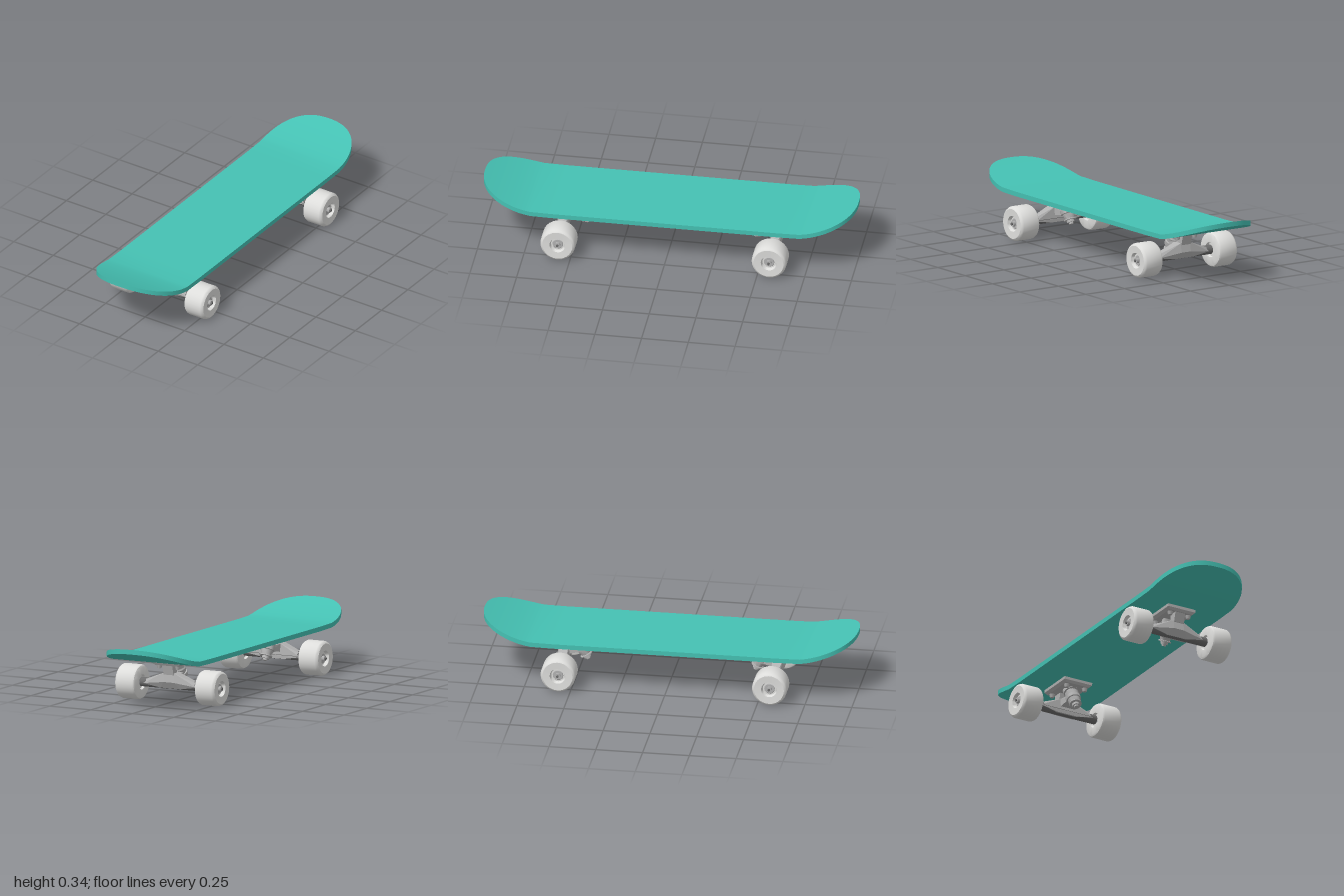
import * as THREE from 'three';
import { toCreasedNormals } from 'three/addons/utils/BufferGeometryUtils.js';
import { ConvexGeometry } from 'three/addons/geometries/ConvexGeometry.js';

const mat = (name, color) => {
  const m = new THREE.MeshStandardMaterial({ color });
  m.name = name;
  return m;
};

export function createModel() {
  const teal = mat('teal deck', 0x45c1b3);
  const white = mat('pale wheel', 0xdededc);
  const metal = mat('light metal', 0xb2b2b2);
  const dark = mat('dark metal', 0x6c6c6c);

  const add = (parent, name, geo, material, x = 0, y = 0, z = 0) => {
    const mesh = new THREE.Mesh(geo, material);
    mesh.name = name;
    mesh.position.set(x, y, z);
    parent.add(mesh);
    return mesh;
  };
  const lathe = (pts, segs) => toCreasedNormals(
    new THREE.LatheGeometry(pts.map(([r, y]) => new THREE.Vector2(r, y)), segs), 0.6);

  // Deck: rectangular sections along z, rounded outline, raised ends
  function deckGeometry() {
    const half = [];
    for (let z = 0; z < 0.72; z += 0.12) half.push([z, 0.25]);
    const n = 18, p = 2 / 2.4;
    for (let i = 0; i <= n; i++) {
      const a = (i / n) * Math.PI / 2 * 0.97;
      half.push([Math.min(1, 0.72 + 0.28 * Math.sin(a) ** p), 0.25 * Math.cos(a) ** p]);
    }
    half[half.length - 1][0] = 1;
    const stations = [...half.slice(1).reverse().map(([z, w]) => [-z, w]), ...half];
    const pos = [], idx = [];
    stations.forEach(([z, w], i) => {
      const lift = 0.085 * (Math.max(0, Math.abs(z) - 0.7) / 0.3) ** 1.4;
      const bottom = 0.23 + lift, top = 0.255 + lift;
      pos.push(w, bottom, z, w, top, z, -w, top, z, -w, bottom, z);
      if (i === 0) return;
      for (let k = 0; k < 4; k++) {
        const a = (i - 1) * 4 + k, b = (i - 1) * 4 + (k + 1) % 4;
        idx.push(a, b, a + 4, b, b + 4, a + 4);
      }
    });
    const e = (stations.length - 1) * 4;
    idx.push(0, 2, 1, 0, 3, 2, e, e + 1, e + 2, e, e + 2, e + 3);
    const g = new THREE.BufferGeometry();
    g.setAttribute('position', new THREE.Float32BufferAttribute(pos, 3));
    g.setIndex(idx);
    return toCreasedNormals(g, 0.6);
  }

  // Convex block from points
  const hull = (pts) => new ConvexGeometry(pts.map((p) => new THREE.Vector3(...p)));

  // Wheel, outer face towards local +y, with a recessed hub
  const wheelGeo = lathe([[0.012, -0.045], [0.036, -0.045], [0.04, -0.059], [0.078, -0.06],
    [0.088, -0.055], [0.093, -0.045], [0.093, 0.045], [0.088, 0.055], [0.08, 0.06],
    [0.042, 0.058], [0.036, 0.04], [0.012, 0.04]], 28);
  const bearingGeo = lathe([[0, 0.043], [0.026, 0.043], [0.03, 0.038]].reverse(), 20);
  const nutGeo = new THREE.CylinderGeometry(0.015, 0.015, 0.018, 6);
  const tipGeo = new THREE.CylinderGeometry(0.007, 0.007, 0.024, 10);

  function makeWheel(side) {
    const wheel = new THREE.Group();
    wheel.name = side > 0 ? 'leftWheel' : 'rightWheel';
    add(wheel, 'tyre', wheelGeo, white);
    add(wheel, 'bearing', bearingGeo, metal);
    add(wheel, 'axleNut', nutGeo, metal, 0, 0.049);
    add(wheel, 'axleTip', tipGeo, dark, 0, 0.052);
    wheel.rotation.z = -side * Math.PI / 2;
    wheel.position.set(side * 0.24, 0.093, 0);
    return wheel;
  }

  // Truck: local +z points to the nearer end of the board
  function makeTruck(name) {
    const truck = new THREE.Group();
    truck.name = name;

    // Mounting plate, narrower underneath
    const plate = [];
    for (const sx of [-1, 1]) {
      for (const [z, zb] of [[-0.14, -0.132], [0.07, 0.062]]) {
        plate.push([sx * 0.085, 0.231, z], [sx * 0.084, 0.215, z], [sx * 0.07, 0.202, zb]);
      }
    }
    add(truck, 'basePlate', hull(plate), metal);
    for (const x of [-0.055, 0.055]) {
      for (const z of [-0.11, 0.04]) {
        add(truck, 'bolt', new THREE.CylinderGeometry(0.016, 0.011, 0.022, 6), metal, x, 0.194, z);
      }
    }

    // Pivot and kingpin seat
    add(truck, 'pivot', hull([-0.03, 0.03].flatMap((x) => [[x, 0.205, 0.0],
      [x, 0.205, 0.055], [x, 0.15, 0.04], [x, 0.15, 0.005]])), metal);

    // Hanger: a broad wedge sitting on the axle tube
    const hanger = [];
    for (const s of [-1, 1]) {
      hanger.push([s * 0.03, 0.16, 0.035], [s * 0.03, 0.16, -0.02], [s * 0.16, 0.11, 0.015],
        [s * 0.16, 0.11, -0.015], [s * 0.16, 0.092, 0.025], [s * 0.16, 0.092, -0.025],
        [s * 0.03, 0.11, 0.042], [s * 0.06, 0.075, 0.02], [s * 0.06, 0.075, -0.024]);
    }
    add(truck, 'hanger', hull(hanger), metal);
    add(truck, 'hangerArm', hull([-1, 1].flatMap((s) => [[s * 0.04, 0.155, -0.015],
      [s * 0.04, 0.11, -0.015], [s * 0.03, 0.152, -0.09], [s * 0.03, 0.128, -0.1]])), metal);
    const axle = add(truck, 'axle', new THREE.CylinderGeometry(0.025, 0.025, 0.37, 16),
      dark, 0, 0.095, 0);
    axle.rotation.z = Math.PI / 2;

    // Tilted kingpin with stacked bushings and washers
    const pin = add(truck, 'kingpinBushings', lathe([[0, -0.075], [0.012, -0.075], [0.012, -0.066],
      [0.02, -0.066], [0.02, -0.052], [0.034, -0.052], [0.034, -0.046], [0.026, -0.044],
      [0.034, -0.018], [0.04, -0.016], [0.04, 0.006], [0.034, 0.008], [0.038, 0.034],
      [0.032, 0.044], [0.04, 0.046], [0.04, 0.07], [0, 0.07]], 18), metal, 0, 0.143, -0.085);
    pin.rotation.x = 0.48;

    for (const side of [-1, 1]) truck.add(makeWheel(side));
    return truck;
  }

  const model = new THREE.Group();
  model.name = 'skateboard';
  add(model, 'deck', deckGeometry(), teal);
  const front = makeTruck('frontTruck');
  front.position.z = 0.565;
  const rear = makeTruck('rearTruck');
  rear.position.z = -0.565;
  rear.rotation.y = Math.PI;
  model.add(front, rear);
  return model;
}
